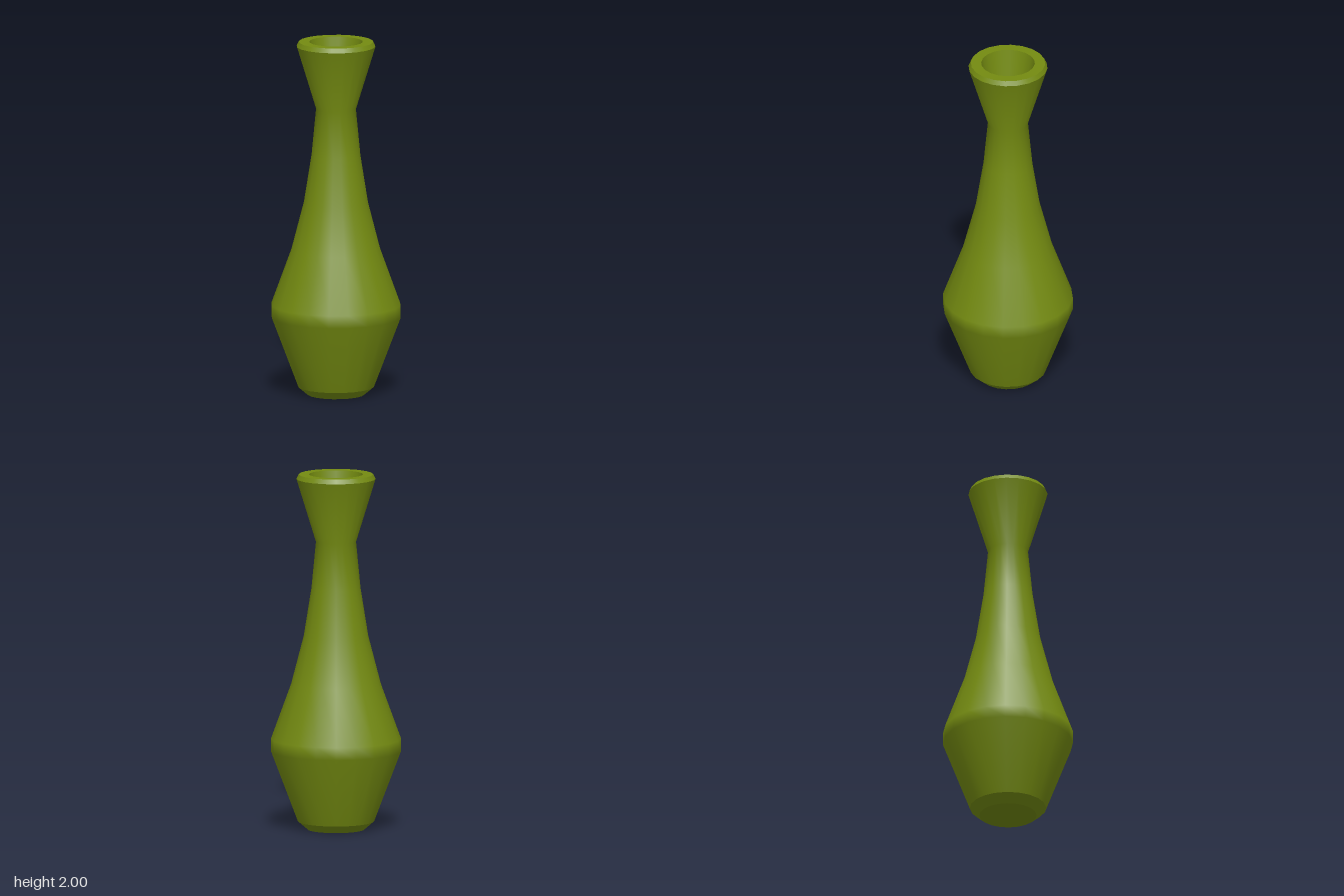
import * as THREE from 'three';

export function createModel() {
  const group = new THREE.Group();
  group.name = 'vase';
  const olive = new THREE.MeshStandardMaterial({ color: 0x748b11 });
  olive.name = 'olive glaze';

  // Each section is smooth in itself; creases fall between sections.
  const section = (name, profile) => {
    const points = profile.map(([r, y]) => new THREE.Vector2(r, y));
    const mesh = new THREE.Mesh(new THREE.LatheGeometry(points, 20), olive);
    mesh.name = name;
    group.add(mesh);
  };

  // Underside and chamfered foot
  section('base', [[0, 0], [0.16, 0]]);
  section('foot', [[0.16, 0], [0.213, 0.045]]);

  // Belly, long neck and flared mouth
  section('body', [
    [0.213, 0.045], [0.363, 0.44], [0.363, 0.51], [0.25, 0.82],
    [0.18, 1.09], [0.137, 1.36], [0.112, 1.62], [0.221, 1.975],
  ]);

  // Lip
  section('lipBevel', [[0.221, 1.975], [0.208, 2]]);
  section('lip', [[0.208, 2], [0.15, 2]]);

  // Tapered opening and its floor
  section('innerWall', [[0.15, 2], [0.089, 1.62]]);
  section('innerFloor', [[0.089, 1.62], [0, 1.62]]);

  return group;
}
